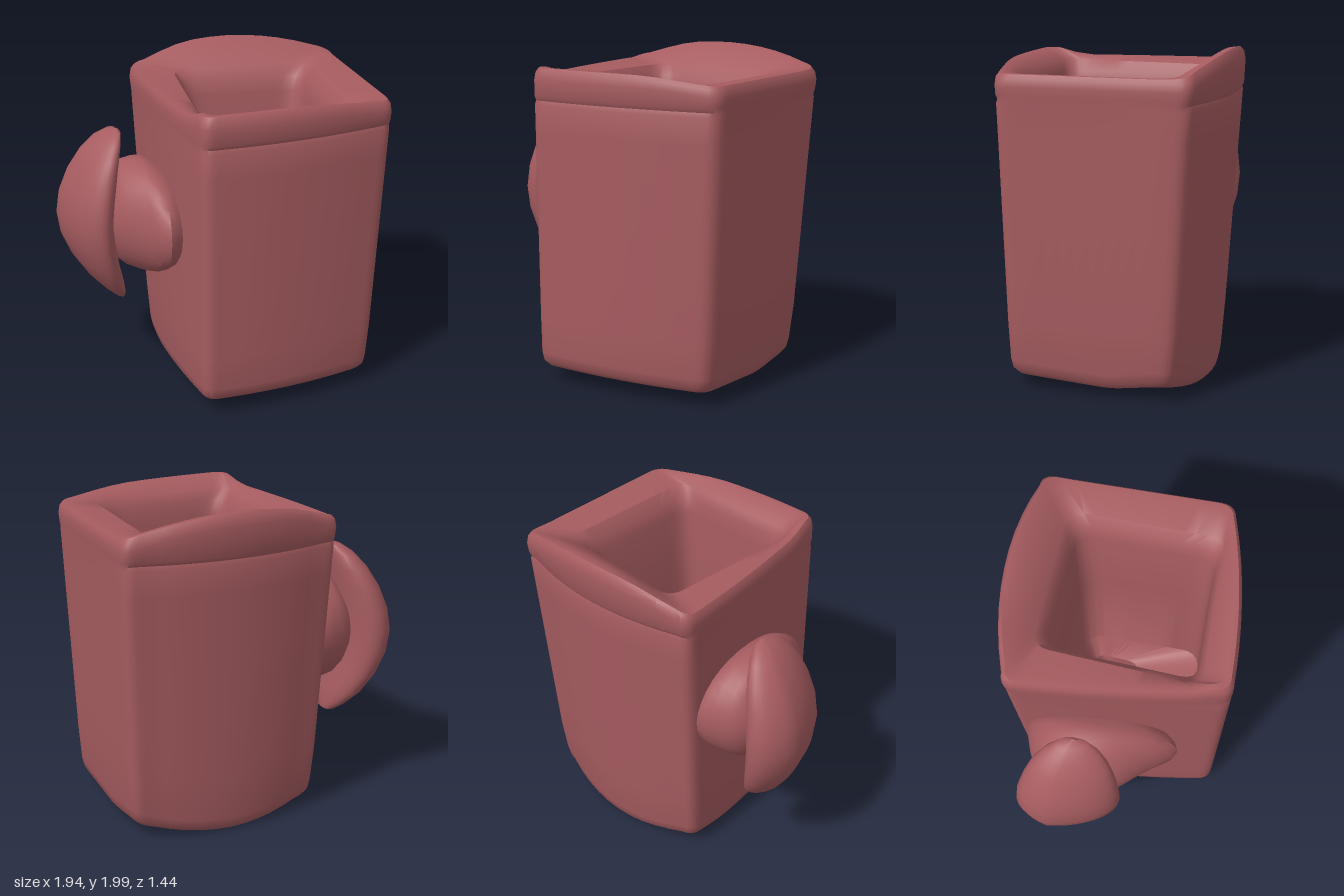
import * as THREE from 'three';
import { toCreasedNormals } from 'three/addons/utils/BufferGeometryUtils.js';

const clay = new THREE.MeshStandardMaterial({ color: 0xa65c60 });
clay.name = 'dusty red';

// Skin a list of rings with equal point counts; wrap joins the last ring to the first
function loft(rings, wrap = false) {
  const n = rings[0].length, pos = [], idx = [];
  rings.forEach(r => r.forEach(p => pos.push(...p)));
  const last = wrap ? rings.length : rings.length - 1;
  for (let j = 0; j < last; j++) {
    const k = (j + 1) % rings.length;
    for (let i = 0; i < n; i++) {
      const i2 = (i + 1) % n;
      const a = j * n + i, b = j * n + i2, c = k * n + i2, d = k * n + i;
      idx.push(a, b, c, a, c, d);
    }
  }
  const g = new THREE.BufferGeometry();
  g.setAttribute('position', new THREE.Float32BufferAttribute(pos, 3));
  g.setIndex(idx);
  return toCreasedNormals(g, 0.7);
}

function part(name, geometry) {
  const m = new THREE.Mesh(geometry, clay);
  m.name = name;
  return m;
}

// Rounded four-cornered outline [x, z]; bulge pushes the front, right, back and left sides outward
function outline(corners, r, bulge = [0, 0, 0, 0]) {
  const pts = [], c = corners.map(p => new THREE.Vector2(...p));
  for (let i = 0; i < 4; i++) {
    const here = c[i], prev = c[(i + 3) % 4], next = c[(i + 1) % 4];
    const dirIn = prev.clone().sub(here).normalize(), dirOut = next.clone().sub(here).normalize();
    const p0 = here.clone().addScaledVector(dirIn, r), p2 = here.clone().addScaledVector(dirOut, r);
    const curve = new THREE.QuadraticBezierCurve(p0, here, p2);
    pts.push(...curve.getPoints(5).map(p => [p.x, p.y]));
    const end = next.clone().addScaledVector(dirOut, -r);
    for (let k = 1; k < 10; k++) {
      const t = k / 10, p = p2.clone().lerp(end, t), b = bulge[i] * 4 * t * (1 - t);
      pts.push([p.x - dirOut.y * b, p.y + dirOut.x * b]);
    }
  }
  return pts;
}

// Front left, front right, back right, back left
const lowCorners = [[-0.2, 0.71], [0.9, 0.46], [0.83, -0.55], [-0.37, -0.46]];
const highCorners = [[-0.21, 0.73], [0.98, 0.49], [0.9, -0.68], [-0.46, -0.57]];

// Outer wall ring: t = taper position, s = inset scale, lip = front and back overhang
function wallRing(t, s, yAt, lip = 0) {
  const corners = lowCorners.map((p, i) => [
    THREE.MathUtils.lerp(p[0], highCorners[i][0], t),
    THREE.MathUtils.lerp(p[1], highCorners[i][1], t) + lip * Math.sign(p[1]),
  ]);
  return outline(corners, 0.09, [0.035, 0, 0.09, 0.02]).map(([x, z]) => {
    const px = 0.25 + (x - 0.25) * s, pz = 0.02 + (z - 0.02) * s;
    return [px, yAt(px, pz), pz];
  });
}

const flatRing = (corners, r, y) => outline(corners, r).map(([x, z]) => [x, y, z]);

// The underside slopes down towards the back and sags there in an arch
function bottomY(x, z) {
  const back = THREE.MathUtils.smoothstep(-z, 0.1, 0.56);
  return 0.06 + 0.06 * z + back * (0.1 * ((x - 0.2) / 0.62) ** 2 - 0.027);
}
// The rim rises in an arch at the back and slightly along the front
function topY(x, z) {
  const back = THREE.MathUtils.smoothstep(-z, 0.46, 0.66);
  const front = THREE.MathUtils.smoothstep(z, 0.45, 0.62);
  return 1.88 + back * 0.12 * (1 - ((x - 0.17) / 0.74) ** 2) + front * 0.045;
}

function bodyGeometry() {
  const hole = [[-0.03, 0.05], [0.49, 0.05], [0.49, -0.27], [-0.03, -0.27]];
  const rings = [
    wallRing(0, 0.86, (x, z) => bottomY(x, z) + 0.005),
    wallRing(0, 0.94, (x, z) => bottomY(x, z) + 0.005),
    wallRing(0, 0.985, (x, z) => bottomY(x, z) + 0.035),
    wallRing(0.02, 1, (x, z) => bottomY(x, z) + 0.09),
  ];
  for (const y of [0.4, 0.7, 1.0, 1.3, 1.55, 1.71]) rings.push(wallRing(y / 1.9, 1, () => y));
  rings.push(
    // lip and rounded rim
    wallRing(0.92, 1, () => 1.735, -0.01),
    wallRing(0.94, 1, () => 1.76, 0.002),
    wallRing(1, 1, (x, z) => topY(x, z) - 0.07),
    wallRing(1, 0.99, (x, z) => topY(x, z) - 0.025),
    wallRing(1, 0.965, topY),
    wallRing(1, 0.91, topY),
    // inner rim slope, then the cavity
    flatRing([[-0.18, 0.54], [0.74, 0.47], [0.7, -0.47], [-0.18, -0.45]], 0.1, 1.855),
    flatRing([[-0.13, 0.51], [0.68, 0.45], [0.65, -0.42], [-0.14, -0.41]], 0.11, 1.79),
    flatRing([[-0.11, 0.5], [0.66, 0.445], [0.63, -0.4], [-0.12, -0.39]], 0.12, 1.7),
    flatRing([[-0.06, 0.49], [0.63, 0.44], [0.59, -0.37], [-0.08, -0.36]], 0.13, 1.2),
    flatRing([[-0.04, 0.49], [0.62, 0.44], [0.58, -0.34], [-0.05, -0.33]], 0.13, 0.32),
    // floor opening
    flatRing(hole, 0.09, 0.2),
    flatRing(hole, 0.09, 0.09),
  );
  return loft(rings, true);
}

// Crescent grip: [y, outer x, inner x, half depth]
function gripGeometry() {
  const stations = [
    [0.495, -0.60, -0.59, 0.01], [0.51, -0.645, -0.575, 0.07], [0.56, -0.71, -0.575, 0.13],
    [0.65, -0.80, -0.59, 0.2], [0.78, -0.89, -0.62, 0.25], [0.92, -0.95, -0.64, 0.28],
    [1.06, -0.97, -0.65, 0.29], [1.2, -0.95, -0.64, 0.28], [1.34, -0.895, -0.62, 0.25],
    [1.46, -0.82, -0.6, 0.21], [1.55, -0.74, -0.58, 0.15], [1.605, -0.66, -0.572, 0.08],
    [1.622, -0.6, -0.59, 0.01],
  ];
  return loft(stations.map(([y, xo, xi, hz]) => {
    const ring = [];
    for (let i = 0; i < 32; i++) {
      const a = i / 32 * Math.PI * 2, u = Math.cos(a), v = Math.sin(a);
      const x = (xo + xi) / 2 + (xi - xo) / 2 * u + hz * 0.14 * Math.abs(v);
      ring.push([x, y, -0.11 - hz * v + hz * 0.35 * u]);
    }
    return ring;
  }));
}

// Stem flaring towards the body: [x, half height, centre z, half depth]
function stemGeometry() {
  const stations = [
    [-0.72, 0.1, -0.1, 0.1], [-0.66, 0.21, -0.1, 0.23], [-0.62, 0.29, -0.09, 0.28],
    [-0.57, 0.33, -0.08, 0.32], [-0.5, 0.35, -0.06, 0.37], [-0.45, 0.355, -0.04, 0.41],
    [-0.4, 0.34, -0.01, 0.45], [-0.35, 0.31, 0.02, 0.45], [-0.31, 0.29, 0.03, 0.42],
    [-0.22, 0.2, 0.03, 0.3],
  ];
  return loft(stations.map(([x, hy, zc, hz]) => {
    const ring = [];
    for (let i = 0; i < 32; i++) {
      const a = i / 32 * Math.PI * 2;
      ring.push([x, 1.08 + hy * Math.cos(a), zc + hz * Math.sin(a)]);
    }
    return ring;
  }));
}

export function createModel() {
  const mug = new THREE.Group();
  mug.name = 'squareMug';
  const handle = new THREE.Group();
  handle.name = 'handle';
  handle.add(part('handleGrip', gripGeometry()), part('handleStem', stemGeometry()));
  mug.add(part('body', bodyGeometry()), handle);
  return mug;
}
